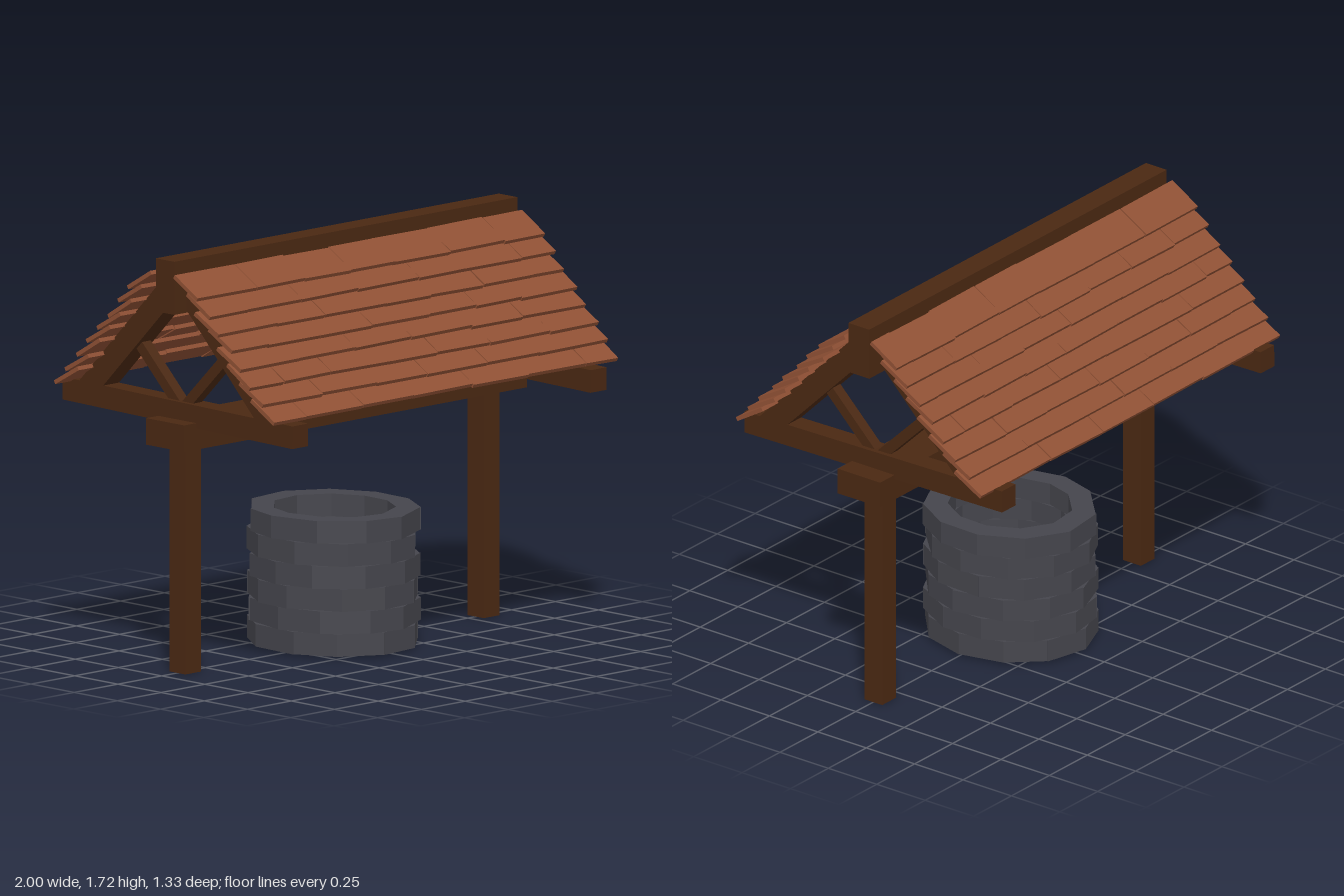
import * as THREE from 'three';

const paint = (color) => new THREE.MeshStandardMaterial({ color, flatShading: true });

export function createModel() {
  const model = new THREE.Group();
  const wood = paint(0x4a2812), tile = paint(0x8f5034), stone = paint(0x45454c);

  // Small seeded generator for hand-laid irregularity, -1..1
  let seed = 7;
  const jitter = (amount) => {
    seed = (seed * 16807) % 2147483647;
    return (seed / 2147483647 * 2 - 1) * amount;
  };

  const box = (parent, name, material, size, pos) => {
    const mesh = new THREE.Mesh(new THREE.BoxGeometry(...size), material);
    mesh.name = name;
    mesh.position.set(...pos);
    parent.add(mesh);
    return mesh;
  };

  // Timber between two [z, y] points in a plane of constant x
  const timber = (parent, name, x, [z0, y0], [z1, y1], width, thick) => {
    const dz = z1 - z0, dy = y1 - y0;
    const mesh = box(parent, name, wood, [width, thick, Math.hypot(dz, dy)],
      [x, (y0 + y1) / 2, (z0 + z1) / 2]);
    mesh.rotation.x = -Math.atan2(dy, dz);
  };

  // Long beams
  box(model, 'longBeam', wood, [1.96, 0.11, 0.22], [0, 0.995, 0]);
  box(model, 'ridgeBeam', wood, [1.96, 0.22, 0.107], [0, 1.61, 0]);

  // Post and roof truss at each end
  for (const x of [-0.865, 0.84]) {
    const frame = new THREE.Group();
    frame.name = x > 0 ? 'leftFrame' : 'rightFrame';
    box(frame, 'post', wood, [0.09, 0.96, 0.093], [x, 0.48, 0]);
    timber(frame, 'tieBeam', x, [-0.665, 1.088], [0.665, 1.066], 0.09, 0.094);
    for (const s of [1, -1]) {
      timber(frame, 'rafter', x, [s * 0.02, 1.615], [s * 0.55, 1.08], 0.09, 0.1);
      timber(frame, 'brace', x, [0, 1.085], [s * 0.255, 1.335], 0.05, 0.045);
    }
    model.add(frame);
  }

  // Overlapping shingle rows on both slopes
  const rows = 8, length = 0.155, pitch = 0.53;
  for (const s of [1, -1]) {
    const roof = new THREE.Group();
    roof.name = s > 0 ? 'frontRoof' : 'backRoof';
    for (let r = 0; r < rows; r++) {
      const tipZ = 0.625 - r * 0.062, tipY = 1.128 + r * 0.0645;
      const end = 0.985 + s * 0.008 + jitter(0.006);
      let x = -0.99 + s * 0.008 + jitter(0.006);
      let width = r % 2 ? 0.34 : 0.2 + jitter(0.04);
      while (x < end - 0.01) {
        if (end - x - width < 0.1) width = end - x;
        const shingle = box(roof, 'shingle', tile, [width, 0.017, length], [
          x + width / 2,
          tipY + Math.sin(pitch) * length / 2 + jitter(0.003),
          s * (tipZ - Math.cos(pitch) * length / 2 + jitter(0.004)),
        ]);
        shingle.rotation.set(s * (pitch + jitter(0.03)), jitter(0.012), jitter(0.008));
        x += width;
        width = 0.3 + jitter(0.05);
      }
    }
    model.add(roof);
  }

  // Well wall: staggered courses of wedge-shaped stones
  const well = new THREE.Group();
  well.name = 'well';
  const courses = 6, stones = 11, height = 0.56 / courses;
  for (let c = 0; c < courses; c++) {
    const turn = (c % 2) * 0.5 + jitter(0.12);
    const angles = Array.from({ length: stones },
      (_, i) => (i + turn + jitter(0.1)) / stones * Math.PI * 2);
    angles.push(angles[0] + Math.PI * 2);
    for (let i = 0; i < stones; i++) {
      const grow = 1 + jitter(0.012);
      const at = (a, k) => new THREE.Vector2(Math.cos(a) * 0.335 * k, Math.sin(a) * 0.37 * k);
      const [a, b] = [angles[i], angles[i + 1]];
      const shape = new THREE.Shape([at(a, 0.72), at(a, grow), at(b, grow), at(b, 0.72)]);
      const block = new THREE.Mesh(
        new THREE.ExtrudeGeometry(shape, { depth: height, bevelEnabled: false }), stone);
      block.name = 'wellStone';
      block.rotation.x = -Math.PI / 2;
      block.position.set(-0.01, 0.01 + c * height, -0.007);
      well.add(block);
    }
  }
  model.add(well);

  return model;
}
